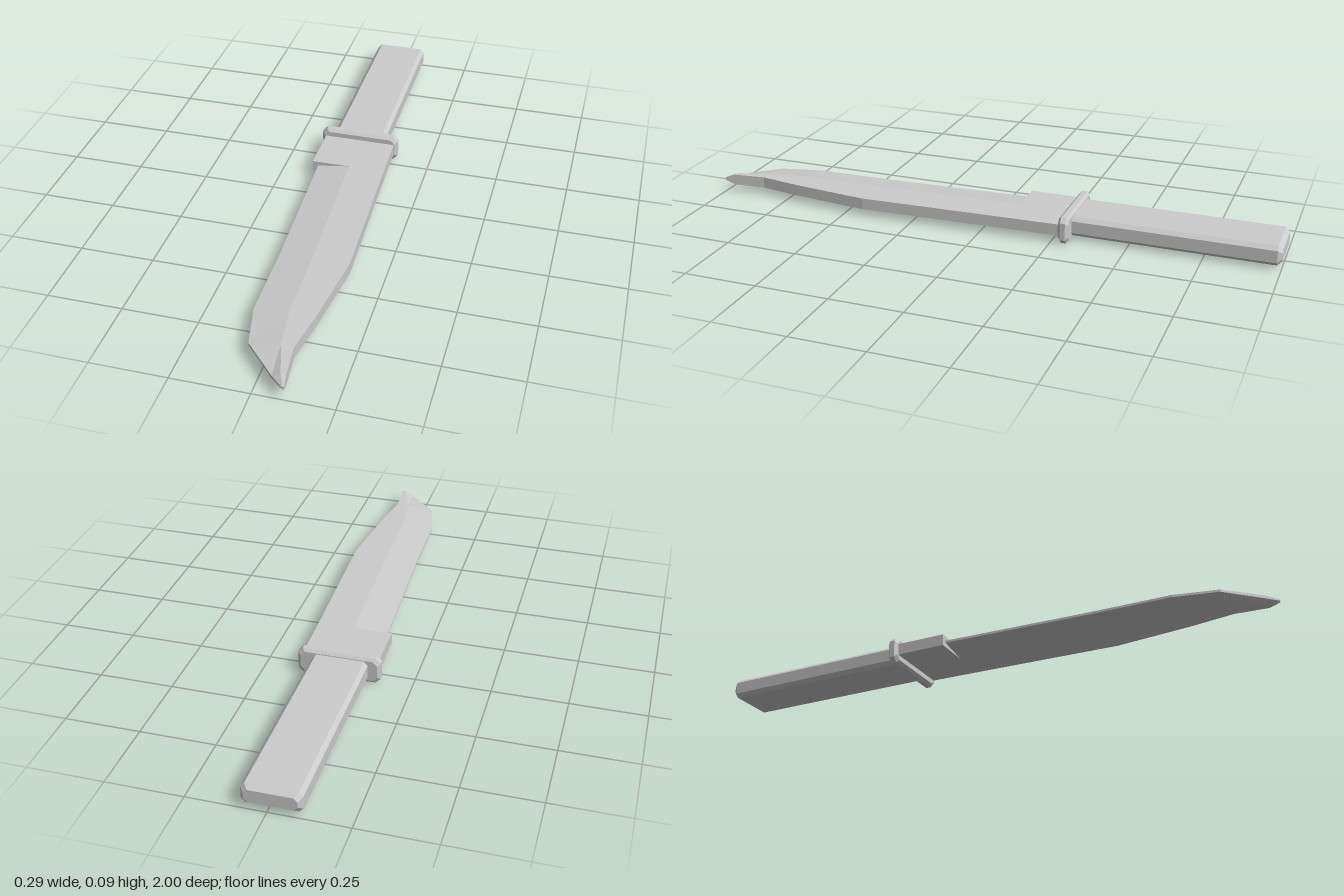
import * as THREE from 'three';

const CY = 0.048; // height of the centre plane

// Skin a list of equal-length rings (counter-clockwise seen from +z, ordered by z) and cap the ends.
function loft(name, rings, material) {
  const pos = [];
  const tri = (...pts) => pts.forEach((p) => pos.push(...p));
  const n = rings[0].length;
  for (let s = 0; s < rings.length - 1; s++) {
    const a = rings[s], b = rings[s + 1];
    for (let i = 0; i < n; i++) {
      const j = (i + 1) % n;
      tri(a[i], a[j], b[j]);
      tri(a[i], b[j], b[i]);
    }
  }
  const first = rings[0], last = rings[rings.length - 1];
  for (let i = 1; i < n - 1; i++) {
    tri(first[0], first[i + 1], first[i]);
    tri(last[0], last[i], last[i + 1]);
  }
  const geometry = new THREE.BufferGeometry();
  geometry.setAttribute('position', new THREE.Float32BufferAttribute(pos, 3));
  geometry.computeVertexNormals();
  const mesh = new THREE.Mesh(geometry, material);
  mesh.name = name;
  return mesh;
}

// Rectangle with cut corners
function octagon(x0, x1, halfY, cut, z, inset = 0) {
  const l = x0 + inset, r = x1 - inset, h = halfY - inset;
  return [
    [l + cut, -h], [r - cut, -h], [r, -h + cut], [r, h - cut],
    [r - cut, h], [l + cut, h], [l, h - cut], [l, -h + cut],
  ].map(([x, y]) => [x, CY + y, z]);
}

// Blade section: cutting edge, bevel line, spine
function bladeRing([z, edge, bevel, spine, edgeHalf, half]) {
  return [
    [edge, CY - edgeHalf, z], [bevel, CY - half, z], [spine, CY - half, z],
    [spine, CY + half, z], [bevel, CY + half, z], [edge, CY + edgeHalf, z],
  ];
}

export function createModel() {
  const group = new THREE.Group();
  group.name = 'knife';
  const material = new THREE.MeshStandardMaterial({ color: 0xcccccc, flatShading: true });

  // Handle with chamfered edges and butt
  group.add(loft('handle', [
    octagon(-0.105, 0.082, 0.034, 0.013, -1, 0.012),
    octagon(-0.105, 0.082, 0.034, 0.013, -0.985),
    octagon(-0.105, 0.082, 0.034, 0.013, -0.29),
  ], material));

  // Cross guard with bevelled rim
  group.add(loft('guard', [
    octagon(-0.146, 0.132, 0.046, 0.016, -0.31, 0.009),
    octagon(-0.146, 0.132, 0.046, 0.016, -0.302),
    octagon(-0.146, 0.132, 0.046, 0.016, -0.284),
    octagon(-0.146, 0.132, 0.046, 0.016, -0.275, 0.009),
  ], material));

  // Blade: full-thickness base, step, then bevelled edge up to the clipped tip
  // [z, edge x, bevel x, spine x, half thickness at edge, half thickness at spine]
  group.add(loft('blade', [
    [-0.29, -0.132, 0, 0.12, 0.02, 0.02],
    [-0.1, -0.132, 0, 0.125, 0.02, 0.02],
    [-0.1, -0.113, 0, 0.125, 0.004, 0.02],
    [0.43, -0.092, 0.02, 0.142, 0.004, 0.02],
    [0.7, -0.088, 0.025, 0.11, 0.004, 0.02],
    [0.85, -0.055, 0.045, 0.085, 0.004, 0.02],
    [0.965, 0.052, 0.08, 0.096, 0.005, 0.019],
    [1, 0.092, 0.096, 0.1, 0.003, 0.005],
  ].map(bladeRing), material));

  return group;
}
